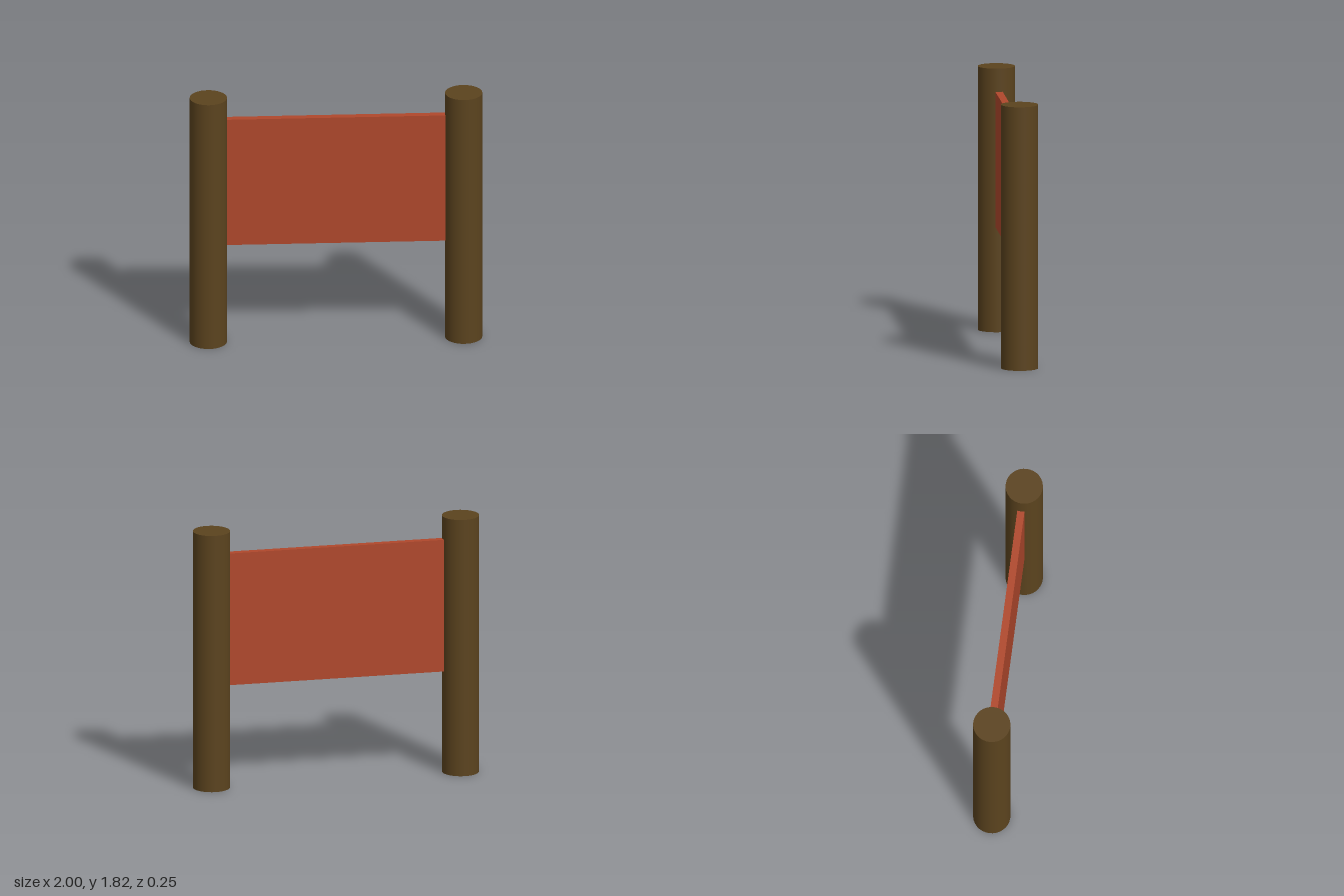
import * as THREE from 'three';

export function createModel() {
  const model = new THREE.Group();
  model.name = 'signBoard';

  const wood = new THREE.MeshStandardMaterial({ color: 0x5b431e });
  const red = new THREE.MeshStandardMaterial({ color: 0xb0482c });

  // Two round posts, mirrored across x
  const radius = 0.1275, height = 1.82;
  const postGeometry = new THREE.CylinderGeometry(radius, radius, height, 32);
  for (const [name, side] of [['leftPost', 1], ['rightPost', -1]]) {
    const post = new THREE.Mesh(postGeometry, wood);
    post.name = name;
    post.position.set(side * (1 - radius), height / 2, 0);
    model.add(post);
  }

  // Thin board between the posts, its ends let slightly into them
  const bottom = 0.725, top = 1.66;
  const board = new THREE.Mesh(new THREE.BoxGeometry(1.51, top - bottom, 0.05), red);
  board.name = 'board';
  board.position.set(0, (bottom + top) / 2, -0.007);
  model.add(board);

  return model;
}
